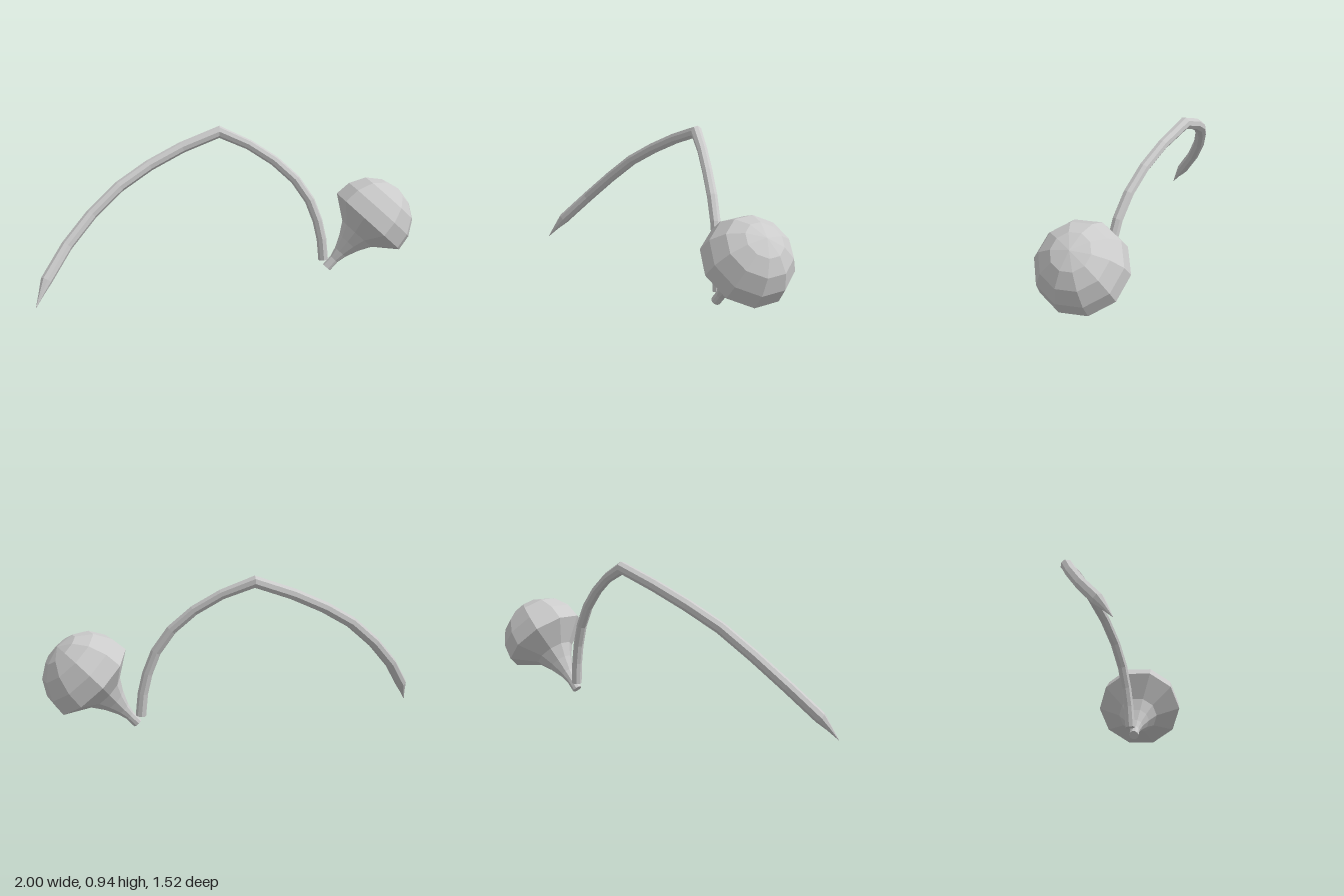
import * as THREE from 'three';

const material = new THREE.MeshStandardMaterial({ color: 0xcccccc, flatShading: true });
const V = (a) => new THREE.Vector3(...a);

// Sweeps a polygon along a polyline with mitred joints and a radius per point.
function sweep(path, radii, sides) {
  const pts = path.map(V), n = pts.length;
  const dirs = pts.slice(1).map((p, i) => p.clone().sub(pts[i]).normalize());
  const u = new THREE.Vector3(0, 1, 0).cross(dirs[0]).normalize();
  const v = dirs[0].clone().cross(u);
  let ring = Array.from({ length: sides }, (_, k) => {
    const a = (k / sides) * Math.PI * 2;
    return u.clone().multiplyScalar(Math.cos(a)).addScaledVector(v, Math.sin(a));
  });
  const pos = [], index = [];
  pts.forEach((p, i) => {
    const before = dirs[Math.max(i - 1, 0)], after = dirs[Math.min(i, n - 2)];
    const plane = before.clone().add(after).normalize();
    ring.forEach((o) => {
      const slide = -o.dot(plane) / before.dot(plane);
      const q = o.clone().addScaledVector(before, slide).multiplyScalar(radii[i]).add(p);
      pos.push(q.x, q.y, q.z);
    });
    // Turn the cross-section into the next segment.
    const turn = new THREE.Quaternion().setFromUnitVectors(before, after);
    ring = ring.map((o) => o.clone().applyQuaternion(turn));
  });
  for (let i = 0; i < n - 1; i++) {
    for (let k = 0; k < sides; k++) {
      const a = i * sides + k, b = i * sides + ((k + 1) % sides);
      index.push(a, b, b + sides, a, b + sides, a + sides);
    }
  }
  // End cap
  const last = (n - 1) * sides;
  for (let k = 1; k < sides - 1; k++) index.push(last, last + k, last + k + 1);
  const geo = new THREE.BufferGeometry();
  geo.setAttribute('position', new THREE.Float32BufferAttribute(pos, 3));
  geo.setIndex(index);
  geo.computeVertexNormals();
  return geo;
}

function part(name, geometry) {
  const mesh = new THREE.Mesh(geometry, material);
  mesh.name = name;
  return mesh;
}

export function createModel() {
  const group = new THREE.Group();
  group.name = 'bentStalkWithBulb';

  // Arched stalk: pointed root, long arch, sharp elbow, drooping end
  const stalk = [
    [-1, 0.005, -0.71], [-0.945, 0.075, -0.72], [-0.89, 0.14, -0.732],
    [-0.71, 0.31, -0.735], [-0.53, 0.47, -0.7], [-0.35, 0.615, -0.635],
    [-0.17, 0.725, -0.55], [0.01, 0.82, -0.44], [0.2, 0.905, -0.295],
    [0.29, 0.83, -0.13], [0.365, 0.735, 0.01], [0.43, 0.62, 0.125],
    [0.475, 0.49, 0.205], [0.5, 0.36, 0.25], [0.513, 0.24, 0.275], [0.518, 0.105, 0.288],
  ];
  const radii = stalk.map((_, i) => (i < 2 ? [0.001, 0.017][i] : i < 9 ? 0.035 : 0.031));
  group.add(part('stalk', sweep(stalk, radii, 8)));

  // Bulb: thin neck flaring into a faceted dome
  const profile = [
    [0, 0], [0.03, 0], [0.03, 0.07], [0.045, 0.13], [0.08, 0.21], [0.125, 0.285],
    [0.268, 0.39], [0.255, 0.49], [0.2, 0.585], [0.115, 0.645], [0, 0.67],
  ].map(([r, y]) => new THREE.Vector2(r, y));
  const bulb = part('bulb', new THREE.LatheGeometry(profile, 10));
  bulb.position.set(0.518, 0.058, 0.315);
  bulb.quaternion.setFromUnitVectors(new THREE.Vector3(0, 1, 0), V([0.53, 0.73, 0.43]).normalize());
  group.add(bulb);

  return group;
}
